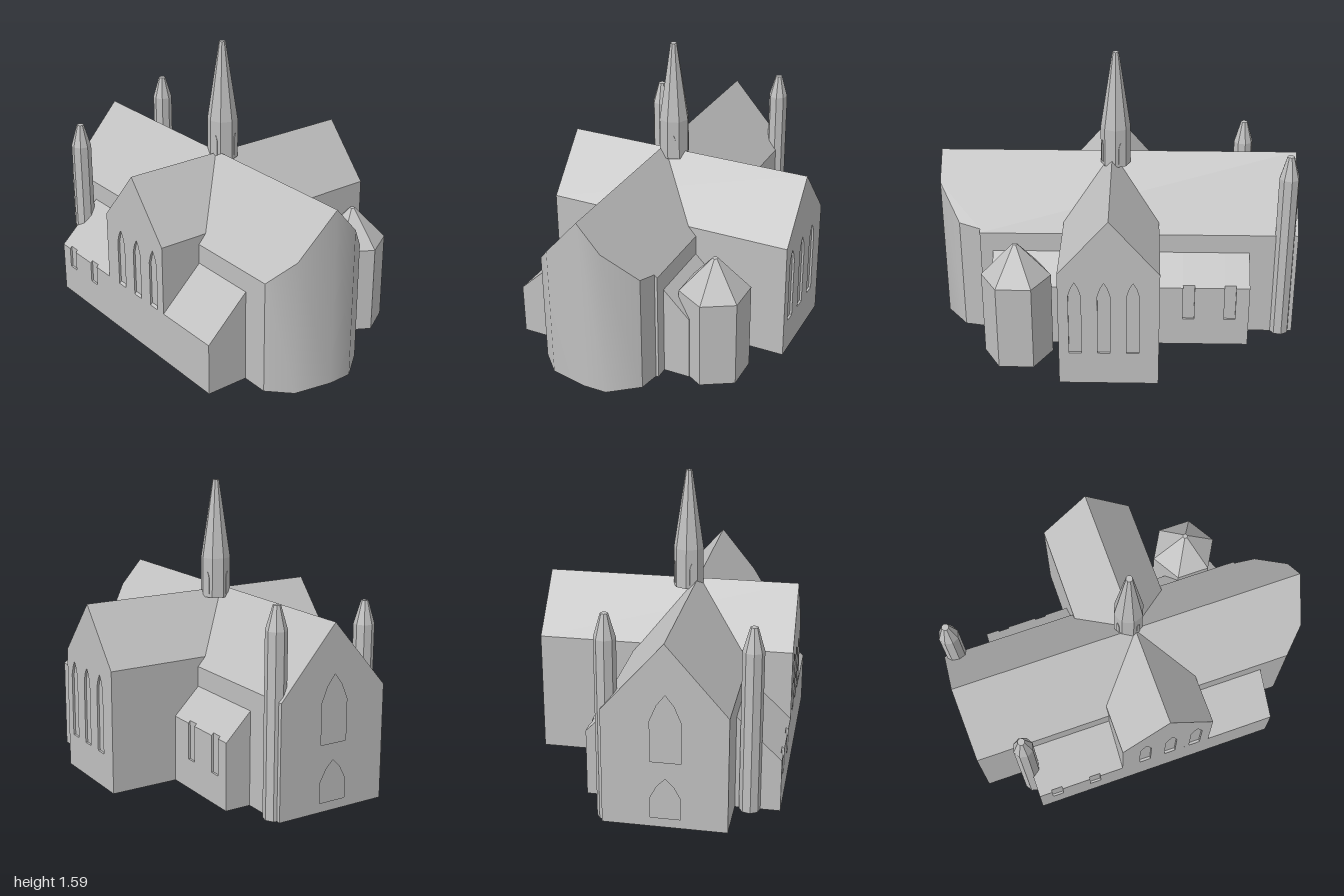
import * as THREE from 'three';
import { toCreasedNormals } from 'three/addons/utils/BufferGeometryUtils.js';

export function createModel() {
  const model = new THREE.Group();
  const stone = new THREE.MeshStandardMaterial({ color: 0xc0c0c0 });
  stone.name = 'pale stone';

  function add(name, geometry, parent = model) {
    const mesh = new THREE.Mesh(toCreasedNormals(geometry, 0.68), stone);
    mesh.name = name;
    parent.add(mesh);
    return mesh;
  }
  const shapeOf = (pts) => new THREE.Shape(pts.map(([x, y]) => new THREE.Vector2(x, y)));

  // Prism along z from an (x, y) outline, with optional openings
  function prismZ(pts, z0, z1, holes = []) {
    const shape = shapeOf(pts);
    holes.forEach((h) => shape.holes.push(shapeOf(h)));
    return new THREE.ExtrudeGeometry(shape, { depth: z1 - z0, bevelEnabled: false }).translate(0, 0, z0);
  }
  // Prism along x from a (z, y) outline
  function prismX(pts, x0, x1, holes = []) {
    const flip = (list) => list.map(([z, y]) => [-z, y]);
    return prismZ(flip(pts), x0, x1, holes.map(flip)).rotateY(Math.PI / 2);
  }
  // Pointed window outline
  const lancet = (c, halfWidth, sill, spring, apex) => [
    [c - halfWidth, sill], [c + halfWidth, sill], [c + halfWidth, spring],
    [c + halfWidth * 0.55, spring + (apex - spring) * 0.6], [c, apex],
    [c - halfWidth * 0.55, spring + (apex - spring) * 0.6], [c - halfWidth, spring],
  ];
  const inset = 0.012;

  // Nave with rounded east end: plan outline cut by the pitched roof
  const nave = new THREE.Group();
  nave.name = 'nave';
  model.add(nave);
  const ridgeZ = 0.145, ridgeY = 0.985, eaveY = 0.62, west = -1 + inset;
  const roofY = (z) => ridgeY - (ridgeY - eaveY) * Math.abs(z - ridgeZ) / 0.32;
  const plan = [
    [west, -0.175], [0.765, -0.175], [0.765, -0.16], [0.88, -0.138], [1, 0.016],
    [1, ridgeZ], [0.958, 0.354], [0.845, 0.465], [west, 0.465], [west, ridgeZ],
  ];
  const wall = [];
  plan.forEach(([ax, az], i) => {
    const [bx, bz] = plan[(i + 1) % plan.length];
    const ay = roofY(az), by = roofY(bz);
    wall.push(ax, 0, az, ax, ay, az, bx, by, bz, ax, 0, az, bx, by, bz, bx, 0, bz);
  });
  const wallGeometry = new THREE.BufferGeometry();
  wallGeometry.setAttribute('position', new THREE.Float32BufferAttribute(wall, 3));
  add('naveWalls', wallGeometry, nave);
  for (const side of [-1, 1]) {
    const half = plan.filter(([, z]) => (z - ridgeZ) * side >= 0);
    const roof = new THREE.ShapeGeometry(shapeOf(half.map(([x, z]) => [x, -z]))).rotateX(-Math.PI / 2);
    const p = roof.attributes.position;
    for (let i = 0; i < p.count; i++) p.setY(i, roofY(p.getZ(i)));
    add('naveRoof', roof, nave);
  }
  add('naveFloor', new THREE.ShapeGeometry(shapeOf(plan)).rotateX(Math.PI / 2), nave);

  // West front with door and window recesses
  const westGable = [[-0.175, 0], [0.465, 0], [0.465, eaveY], [ridgeZ, ridgeY], [-0.175, eaveY]];
  add('westFront', prismX(westGable, -1, west, [
    lancet(0.15, 0.078, 0.05, 0.16, 0.27),
    lancet(0.15, 0.078, 0.36, 0.58, 0.72),
  ]), nave);

  // Transept with three tall windows at each end
  const transept = new THREE.Group();
  transept.name = 'transept';
  model.add(transept);
  const gable = [[-0.23, 0], [0.3, 0], [0.3, 0.67], [0.035, 0.977], [-0.23, 0.67]];
  const lancets = [-0.092, 0.06, 0.212].map((x) => lancet(x, 0.033, 0.19, 0.54, 0.62));
  add('transeptBody', prismZ(gable, -0.7 + inset, 0.7 - inset), transept);
  add('frontGable', prismZ(gable, 0.7 - inset, 0.7, lancets), transept);
  add('backGable', prismZ(gable, -0.7, -0.7 + inset, lancets), transept);

  // Lean-to aisles, recessed where the small windows are
  const bays = [[-0.735, -0.66], [-0.66, -0.597, true], [-0.597, -0.43], [-0.43, -0.366, true], [-0.366, 0.695]];
  function aisle(name, inner, outer, eave, sill) {
    const group = new THREE.Group();
    group.name = name;
    model.add(group);
    const s = Math.sign(outer), pitch = (0.51 - eave) / Math.abs(outer - inner);
    const back = inner - s * 0.05;
    for (const [x0, x1, window] of bays) {
      const face = window
        ? [[outer, 0], [outer, sill], [outer - s * inset, sill], [outer - s * inset, eave + pitch * inset]]
        : [[outer, 0], [outer, eave]];
      add(window ? 'windowBay' : 'plainBay', prismX([[back, 0], ...face, [inner, 0.51], [back, 0.51]], x0, x1), group);
    }
  }
  aisle('frontAisle', 0.465, 0.7, 0.285, 0.17);
  aisle('backAisle', -0.175, -0.32, 0.365, 0.165);

  // Faceted towers: a straight shaft and a tapered, blunt cap
  function tower(name, x, z, sides, radius, base, shoulder, top, tip, turn = 0) {
    const group = new THREE.Group();
    group.name = name;
    group.position.set(x, 0, z);
    group.rotation.y = turn;
    model.add(group);
    add('shaft', new THREE.CylinderGeometry(radius, radius, shoulder - base, sides)
      .translate(0, (shoulder + base) / 2, 0), group);
    add('cap', new THREE.CylinderGeometry(tip, radius, top - shoulder, sides)
      .translate(0, (top + shoulder) / 2, 0), group);
    return group;
  }
  tower('westTurret', -0.928, -0.16, 8, 0.056, 0, 0.97, 1.095, 0.02, 0.15);
  tower('frontTurret', -0.737, 0.543, 8, 0.056, 0, 0.875, 1, 0.02, 0.15);
  tower('chapterHouse', 0.545, -0.4, 6, 0.19, 0, 0.49, 0.678, 0.015, Math.PI / 2);
  const spire = tower('spire', 0.016, 0.09, 8, 0.083, 0.94, 1.16, 1.59, 0.018);

  // Narrow slit panels around the spire shaft
  for (let i = 0; i < 4; i++) {
    const slit = prismZ(lancet(0, 0.012, 0.96, 1.05, 1.085), 0.075, 0.08);
    add('spireSlit', slit.rotateY(Math.PI / 8 + i * Math.PI / 2), spire);
  }
  return model;
}
